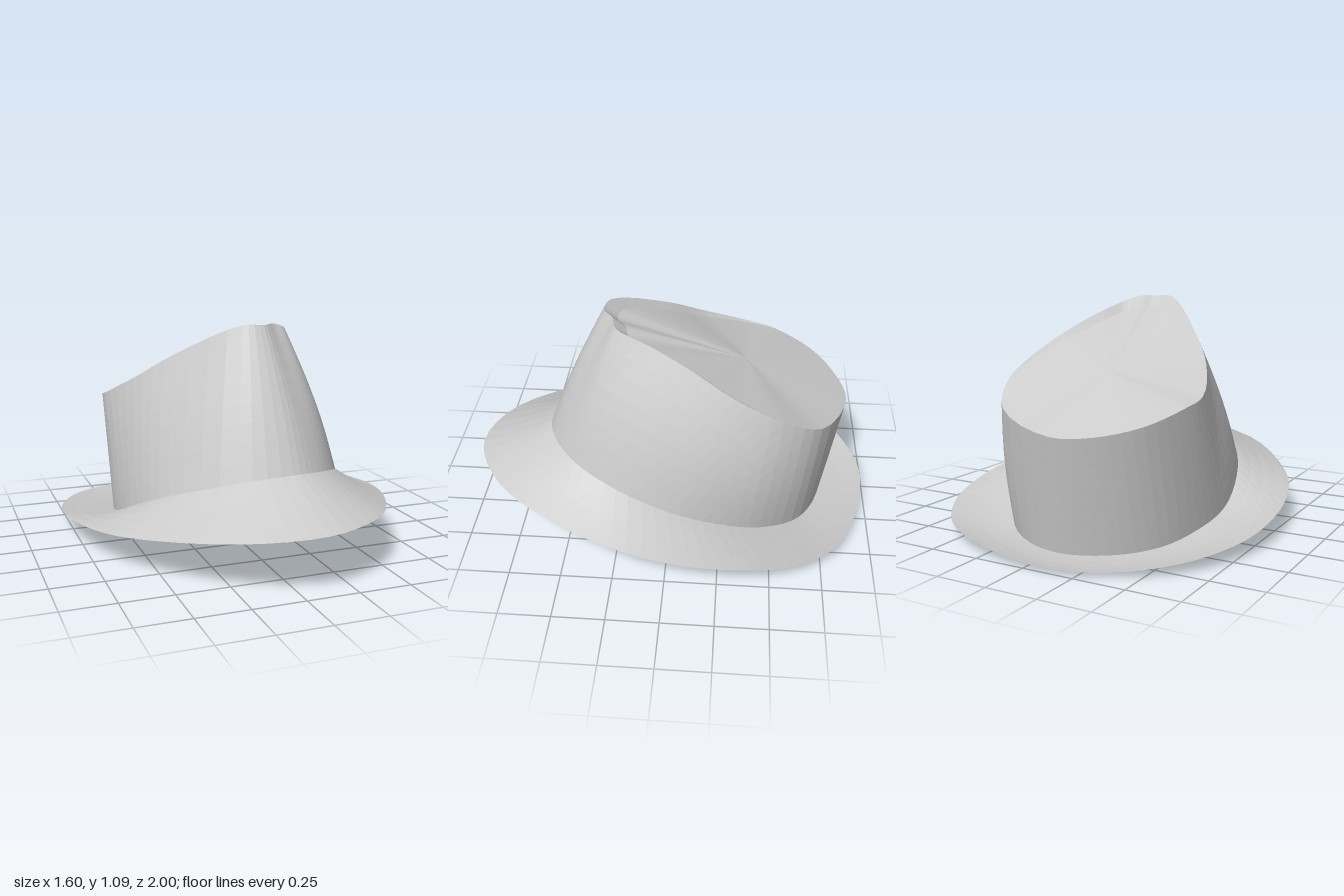
import * as THREE from 'three';

const SEG = 64;
const V = (x, y, z) => new THREE.Vector3(x, y, z);

// Closed smooth loop through control points, starting at the front and turning toward +x
const loop = (pts) => {
  const curve = new THREE.CatmullRomCurve3(pts.map((p) => V(...p)), true, 'centripetal');
  return Array.from({ length: SEG }, (_, i) => curve.getPoint(i / SEG));
};

// Rings between two loops, with an optional offset rule for the in-between rings
const between = (a, b, steps, shape = () => {}) =>
  Array.from({ length: steps + 1 }, (_, s) => {
    const t = s / steps;
    return a.map((p, i) => {
      const q = p.clone().lerp(b[i], t);
      shape(q, Math.sin(Math.PI * t));
      return q;
    });
  });

// Surface skinned over a list of rings
const skin = (name, rings, material) => {
  const pos = [], index = [];
  rings.forEach((r) => r.forEach((p) => pos.push(p.x, p.y, p.z)));
  for (let r = 0; r < rings.length - 1; r++) {
    for (let i = 0; i < SEG; i++) {
      const j = (i + 1) % SEG;
      const a = r * SEG + i, b = r * SEG + j;
      index.push(a, b, b + SEG, a, b + SEG, a + SEG);
    }
  }
  const g = new THREE.BufferGeometry();
  g.setAttribute('position', new THREE.Float32BufferAttribute(pos, 3));
  g.setIndex(index);
  g.computeVertexNormals();
  const mesh = new THREE.Mesh(g, material);
  mesh.name = name;
  return mesh;
};

// Outer edge of the brim
const EDGE = [
  [0.1, 0.275, 1], [0.42, 0.27, 0.84], [0.62, 0.24, 0.56], [0.75, 0.21, 0.25],
  [0.8, 0.175, -0.05], [0.78, 0.14, -0.35], [0.7, 0.1, -0.61], [0.49, 0.06, -0.85],
  [-0.05, 0.025, -1], [-0.36, 0.025, -0.93], [-0.62, 0.05, -0.74], [-0.765, 0.08, -0.46],
  [-0.8, 0.11, -0.2], [-0.76, 0.14, 0.13], [-0.63, 0.18, 0.47], [-0.25, 0.25, 0.9],
];
// Seam where the crown meets the brim
const SEAM = [
  [0.1, 0.44, 0.625], [0.24, 0.43, 0.58], [0.38, 0.4, 0.46], [0.49, 0.34, 0.25],
  [0.53, 0.25, 0], [0.51, 0.17, -0.22], [0.44, 0.09, -0.45], [0.28, 0.025, -0.66],
  [0, 0.005, -0.77], [-0.25, 0.01, -0.7], [-0.42, 0.03, -0.55], [-0.51, 0.07, -0.35],
  [-0.54, 0.12, -0.12], [-0.5, 0.22, 0.12], [-0.4, 0.31, 0.33], [-0.15, 0.41, 0.57],
];
// Teardrop rim of the crown top, pinched at the front
const RIM = [
  [0.07, 1.09, 0.33], [0.14, 1.09, 0.28], [0.2, 1.07, 0.26], [0.26, 1.02, 0.1],
  [0.33, 0.94, -0.1], [0.395, 0.84, -0.3], [0.405, 0.73, -0.53], [0.3, 0.62, -0.72],
  [-0.05, 0.55, -0.865], [-0.25, 0.56, -0.82], [-0.42, 0.6, -0.7], [-0.52, 0.66, -0.5],
  [-0.535, 0.69, -0.37], [-0.44, 0.8, -0.13], [-0.28, 0.94, 0.07], [-0.03, 1.09, 0.31],
];

export function createModel() {
  const hat = new THREE.Group();
  hat.name = 'hat';
  const felt = new THREE.MeshStandardMaterial({
    color: 0xcccccc, flatShading: true, side: THREE.DoubleSide,
  });
  const edge = loop(EDGE), seam = loop(SEAM), rim = loop(RIM);

  // Brim, slightly dished between edge and seam
  hat.add(skin('brim', between(edge, seam, 4, (p, k) => { p.y -= 0.008 * k; }), felt));

  // Crown wall, bulged on the +x side and the front, straight on the -x side and the back
  hat.add(skin('crown', between(seam, rim, 8, (p, k) => {
    const d = V(p.x, 0, p.z + 0.15).normalize();
    const front = Math.max(d.z, 0);
    p.x += (d.x > 0 ? 0.035 : 0.03 * front) * d.x * k;
    p.z += 0.015 * front * k;
  }), felt));

  // Sunken top: a lip that fades toward the back, then the sloping panel
  const centre = V(-0.05, 0.77, -0.35);
  const lip = rim.map((p) => {
    const f = THREE.MathUtils.clamp((p.z + 0.5) / 0.5, 0, 1);
    const q = p.clone().lerp(centre, 0.01 + 0.08 * f);
    q.y -= 0.025 * f;
    return q;
  });
  hat.add(skin('crownLip', [rim, lip], felt));
  hat.add(skin('crownTop', between(lip, lip.map(() => centre), 5), felt));
  return hat;
}
